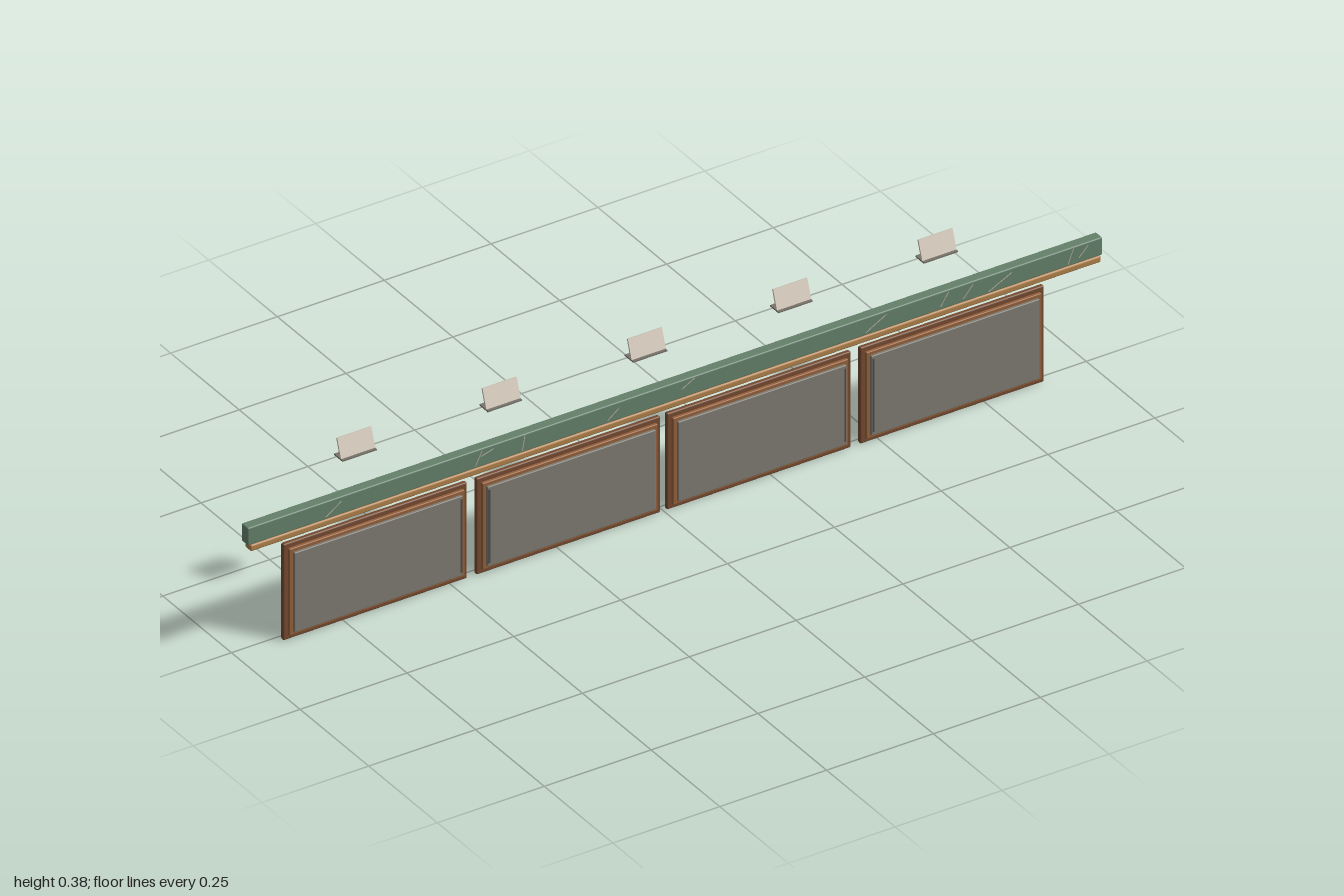
import * as THREE from 'three';
import { RoundedBoxGeometry } from 'three/addons/geometries/RoundedBoxGeometry.js';

const mat = (name, color) => {
  const m = new THREE.MeshStandardMaterial({ color });
  m.name = name;
  return m;
};

export function createModel() {
  const root = new THREE.Group();
  root.name = 'counterFront';
  const green = mat('green stone', 0x64806b);
  const vein = mat('pale vein', 0xb3ad9a);
  const brass = mat('brass', 0xb0804a);
  const wood = mat('brown wood', 0x74492f);
  const moulding = mat('light wood', 0x94603a);
  const grey = mat('grey panel', 0x7d7a70);
  const dark = mat('dark strip', 0x4a4a46);
  const card = mat('card', 0xd6cbbd);
  const foot = mat('card foot', 0x77736a);

  // Box from its limits, with softened edges when r > 0
  function box(parent, name, m, [x0, x1], [y0, y1], [z0, z1], r = 0) {
    const s = [x1 - x0, y1 - y0, z1 - z0];
    const geo = r ? new RoundedBoxGeometry(...s, 2, r) : new THREE.BoxGeometry(...s);
    const mesh = new THREE.Mesh(geo, m);
    mesh.name = name;
    mesh.position.set((x0 + x1) / 2, (y0 + y1) / 2, (z0 + z1) / 2);
    parent.add(mesh);
    return mesh;
  }

  // Long stone rail and the brass trim below it
  box(root, 'stoneRail', green, [-1, 1], [0.279, 0.32], [0.036, 0.06], 0.003);
  box(root, 'brassTrim', brass, [-0.995, 0.995], [0.265, 0.28], [0.04, 0.063], 0.004);

  // Slanted veins on the rail: x, y, length, angle
  const veins = [
    [-0.8, 0.297, 0.045, 0.6], [-0.46, 0.3, 0.035, 1.1], [-0.44, 0.307, 0.03, 0.3],
    [-0.355, 0.301, 0.035, 1.4], [-0.145, 0.296, 0.035, 0.65], [0.03, 0.308, 0.035, 0.5],
    [0.47, 0.299, 0.055, 0.5], [0.63, 0.301, 0.035, 1.0], [0.685, 0.3, 0.035, 0.85],
    [0.76, 0.297, 0.06, 0.45], [0.925, 0.3, 0.035, 1.2], [0.955, 0.302, 0.03, 0.8],
  ];
  for (const [x, y, len, angle] of veins) {
    const v = box(root, 'vein', vein, [x - len / 2, x + len / 2], [y - 0.001, y + 0.001], [0.0595, 0.0606]);
    v.rotation.z = angle;
  }

  // Four stepped panels
  [-0.675, -0.223, 0.223, 0.675].forEach((x, i) => {
    const panel = new THREE.Group();
    panel.name = 'panel';
    panel.position.x = x;
    root.add(panel);
    box(panel, 'backBoard', wood, [-0.215, 0.215], [0, 0.223], [0.008, 0.0185], 0.003);
    box(panel, 'moulding', moulding, [-0.205, 0.205], [0.011, 0.212], [0.016, 0.025], 0.002);
    box(panel, 'infill', grey, [-0.197, 0.197], [0.019, 0.204], [0.022, 0.031], 0.002);
    const s = i % 2 ? -0.193 : 0.193;
    box(panel, 'edgeStrip', dark, [s - 0.002, s + 0.002], [0.027, 0.197], [0.0305, 0.0315]);
  });

  // Five standing cards on thin feet
  for (let i = -2; i <= 2; i++) {
    const stand = new THREE.Group();
    stand.name = 'cardStand';
    stand.position.x = i * 0.34;
    root.add(stand);
    box(stand, 'cardFoot', foot, [-0.04, 0.04], [0.332, 0.335], [-0.062, -0.031]);
    const leaf = box(stand, 'cardLeaf', card, [-0.04, 0.04], [0.3335, 0.3775], [-0.0475, -0.0435]);
    leaf.rotation.x = -0.32;
  }
  return root;
}
